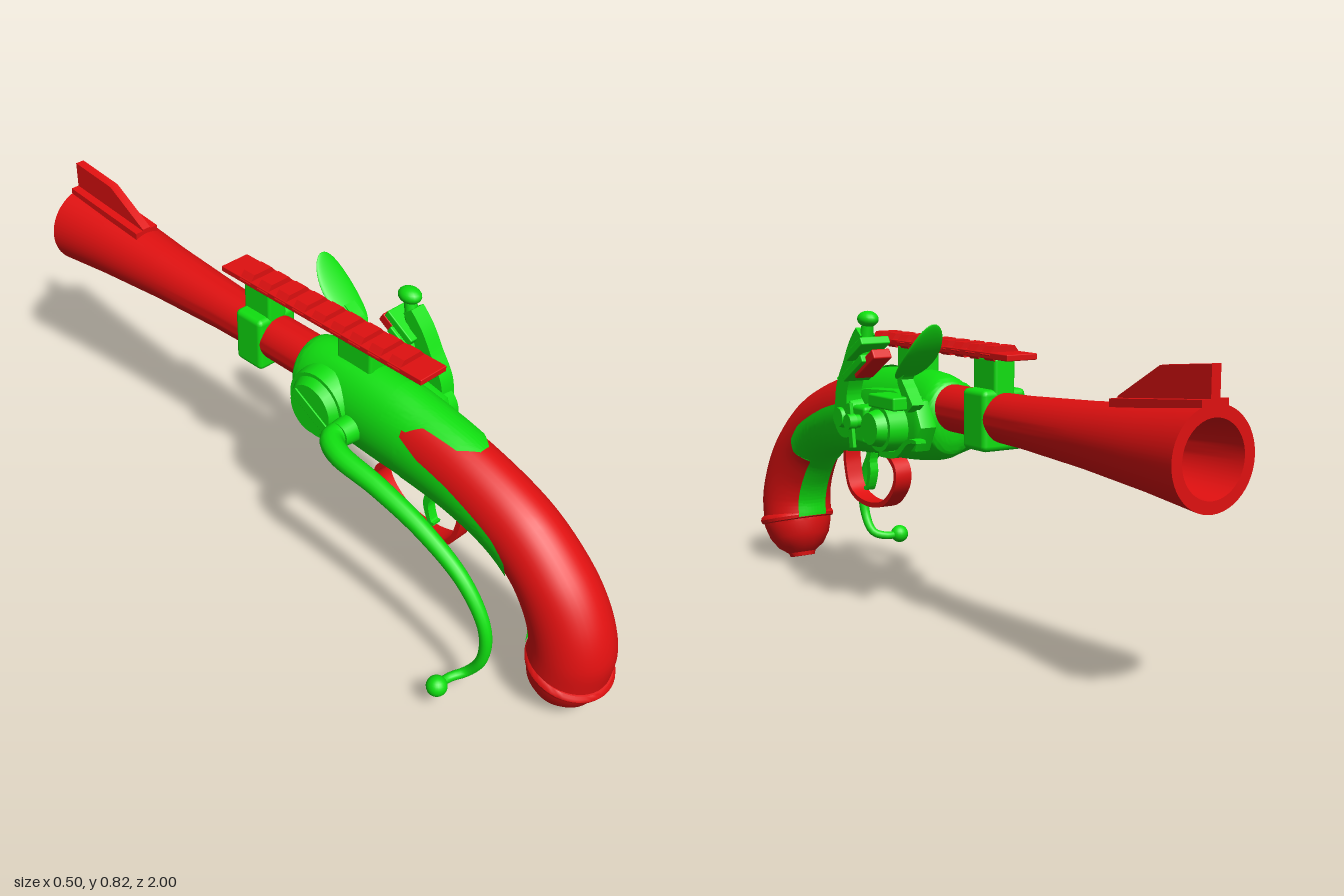
import * as THREE from 'three';
import { toCreasedNormals } from 'three/addons/utils/BufferGeometryUtils.js';
import { RoundedBoxGeometry } from 'three/addons/geometries/RoundedBoxGeometry.js';

const CX = 0.032; // centre plane of the pistol
const red = new THREE.MeshStandardMaterial({ color: 0xe01010, side: THREE.DoubleSide });
const green = new THREE.MeshStandardMaterial({ color: 0x10e010, side: THREE.DoubleSide });

// Stock cross-sections: top z, top y, bottom z, bottom y, half width
const SECTIONS = [
  [-0.03, 0.56, -0.03, 0.54, 0.004], [-0.02, 0.625, -0.02, 0.475, 0.066],
  [0.02, 0.652, 0.01, 0.44, 0.083], [0.12, 0.66, 0.12, 0.42, 0.088],
  [0.25, 0.655, 0.25, 0.41, 0.09], [0.37, 0.64, 0.38, 0.405, 0.09],
  [0.57, 0.598, 0.5, 0.395, 0.09], [0.757, 0.523, 0.62, 0.37, 0.092],
  [0.89, 0.415, 0.7, 0.33, 0.096], [0.965, 0.31, 0.755, 0.26, 0.1],
  [1.0, 0.2, 0.78, 0.2, 0.104], [0.99, 0.1, 0.78, 0.15, 0.106],
];
const spline = (pts) => new THREE.CatmullRomCurve3(pts, false, 'catmullrom', 0.5);
const topLine = spline(SECTIONS.map((s) => new THREE.Vector3(s[4], s[1], s[0])));
const bottomLine = spline(SECTIONS.map((s) => new THREE.Vector3(0, s[3], s[2])));

// Piecewise linear lookup in a list of [t, value]
function lookup(list, t) {
  for (let i = 1; i < list.length; i++) {
    const [a, va] = list[i - 1], [b, vb] = list[i];
    if (t <= b) return va + (vb - va) * Math.max(0, (t - a) / (b - a));
  }
  return list[list.length - 1][1];
}

// Part of the stock surface between stations t0..t1, spanning +-span (of PI) about an angle
function stockSkin(t0, t1, centre, span, offset, nt) {
  const na = 40, pos = [], idx = [], last = SECTIONS.length - 1;
  for (let i = 0; i <= nt; i++) {
    const t = t0 + (t1 - t0) * i / nt;
    const T = topLine.getPoint(t / last), B = bottomLine.getPoint(t / last);
    const a = lookup(span, t) * Math.PI, k = 1 + offset / 0.09;
    for (let j = 0; j <= na; j++) {
      const phi = centre + a * (2 * j / na - 1), c = Math.cos(phi) * k / 2;
      pos.push(CX + T.x * k * Math.sin(phi),
        (T.y + B.y) / 2 - (T.y - B.y) * c, (T.z + B.z) / 2 - (T.z - B.z) * c);
      if (i < nt && j < na) {
        const p = i * (na + 1) + j, q = p + na + 1;
        idx.push(p, p + 1, q, p + 1, q + 1, q);
      }
    }
  }
  const g = new THREE.BufferGeometry();
  g.setAttribute('position', new THREE.Float32BufferAttribute(pos, 3));
  g.setIndex(idx);
  return toCreasedNormals(g, 0.7);
}

// Extrudes a (z, y) outline sideways, centred on x = 0
function sideExtrude(shape, width, bevel = 0) {
  const g = new THREE.ExtrudeGeometry(shape, { depth: width - 2 * bevel, curveSegments: 16,
    bevelEnabled: bevel > 0, bevelSize: bevel, bevelThickness: bevel, bevelSegments: 2 });
  g.translate(0, 0, bevel - width / 2).rotateY(-Math.PI / 2);
  return toCreasedNormals(g, 0.6);
}
const poly = (pts) => new THREE.Shape(pts.map(([z, y]) => new THREE.Vector2(z, y)));

// Flat strip that follows a (z, y) curve, thickness running from th0 to th1
function strip(pts, th0, th1, width) {
  const curve = new THREE.SplineCurve(pts.map(([z, y]) => new THREE.Vector2(z, y)));
  const n = 32, left = [], right = [];
  for (let i = 0; i <= n; i++) {
    const p = curve.getPoint(i / n), d = curve.getTangent(i / n), h = (th0 + (th1 - th0) * i / n) / 2;
    left.push(new THREE.Vector2(p.x - d.y * h, p.y + d.x * h));
    right.unshift(new THREE.Vector2(p.x + d.y * h, p.y - d.x * h));
  }
  return sideExtrude(new THREE.Shape([...left, ...right]), width);
}

// Tube whose radius runs from r0 to r1
function taperTube(pts, r0, r1) {
  const curve = new THREE.CatmullRomCurve3(pts.map((p) => new THREE.Vector3(...p)));
  const n = 64, m = 14, g = new THREE.TubeGeometry(curve, n, 1, m), P = g.attributes.position;
  const v = new THREE.Vector3();
  for (let i = 0; i < P.count; i++) {
    const u = Math.floor(i / (m + 1)) / n, c = curve.getPointAt(u);
    v.fromBufferAttribute(P, i).sub(c).multiplyScalar(r0 + (r1 - r0) * u).add(c);
    P.setXYZ(i, v.x, v.y, v.z);
  }
  return g;
}

export function createModel() {
  const root = new THREE.Group();
  const add = (name, geo, mat, x = 0, y = 0, z = 0, rx = 0) => {
    const m = new THREE.Mesh(geo, mat);
    m.name = name;
    m.position.set(x, y, z);
    m.rotation.x = rx;
    root.add(m);
    return m;
  };
  const box = (name, mat, w, h, d, x, y, z, rx) =>
    add(name, new RoundedBoxGeometry(w, h, d, 2, Math.min(w, h, d) * 0.15), mat, x, y, z, rx);
  // Disc with its axis across the pistol, from x0 (radius r0) to x1 (radius r1)
  const disc = (name, mat, r0, r1, x0, x1, y, z, sides = 28) =>
    add(name, new THREE.CylinderGeometry(r1, r0, x1 - x0, sides).rotateZ(-Math.PI / 2), mat, (x0 + x1) / 2, y, z);

  // Stock: green fore body, red grip, green underside inlay and top tang
  add('foreBody', stockSkin(0, 5, 0, [[0, 1], [5, 1]], 0.003, 50), green);
  add('grip', stockSkin(4.9, 11, 0, [[0, 1], [11, 1]], 0, 60), red);
  add('gripInlay', stockSkin(4.9, 11, 0,
    [[4.9, 0.66], [5.4, 0.58], [6, 0.56], [7, 0.51], [7.5, 0.45], [7.85, 0.34], [8, 0.15], [11, 0.14]], 0.004, 90), green);
  add('tang', stockSkin(4.5, 6, Math.PI, [[4.5, 0.34], [5.1, 0.3], [5.3, 0.2], [5.8, 0.17], [6, 0.05]], 0.007, 30), green);

  // Butt cap with ring and end button
  const lathe = (pts) => toCreasedNormals(
    new THREE.LatheGeometry(pts.map(([r, y]) => new THREE.Vector2(r, y)), 48), 0.6);
  add('buttCap', lathe([[0, -0.12], [0.038, -0.12], [0.042, -0.108], [0.07, -0.088], [0.092, -0.055], [0.104, -0.015],
    [0.105, -0.006], [0.112, -0.003], [0.115, 0.006], [0.112, 0.015], [0.106, 0.02], [0, 0.022]]), red, CX, 0.122, 0.889, 0.265);

  // Flared hollow barrel
  add('barrel', lathe([[0, -0.1], [0.062, -0.1], [0.062, 0.2], [0.066, 0.35], [0.08, 0.6], [0.099, 0.83],
    [0.117, 1], [0.088, 1], [0.07, 0.82], [0.055, 0.5], [0, 0.5]]).rotateX(-Math.PI / 2), red, CX, 0.573, 0);

  // Front sight: tapering base and thin fin
  add('sightBase', sideExtrude(poly([[-0.7, 0.64], [-0.7, 0.672], [-1, 0.7], [-1, 0.665]]), 0.075), red, CX);
  add('sightFin', sideExtrude(poly([[-0.7, 0.66], [-0.7, 0.676], [-0.84, 0.757], [-1, 0.773], [-1, 0.68]]), 0.026), red, CX);

  // Top rail with cross lugs
  box('rail', red, 0.09, 0.016, 0.72, CX, 0.73, 0.04);
  const lug = new THREE.Shape([[-0.047, 0], [-0.03, -0.017], [0.03, -0.017], [0.047, 0], [0.03, 0.021], [-0.03, 0.021]]
    .map(([x, y]) => new THREE.Vector2(x, y)));
  const lugGeo = new THREE.ExtrudeGeometry(lug, { depth: 0.04, bevelEnabled: false });
  for (let i = 0; i < 9; i++) add('railLug', lugGeo, red, CX, 0.732, 0.29 - i * 0.067);

  // Rail mounts and barrel band
  box('frontMount', green, 0.062, 0.1, 0.1, CX, 0.675, -0.2);
  box('barrelBand', green, 0.13, 0.155, 0.1, CX, 0.567, -0.2);
  box('rearMount', green, 0.062, 0.1, 0.12, CX, 0.675, 0.16);

  // Trigger and guard
  add('triggerGuard', strip([[0.53, 0.4], [0.528, 0.35], [0.5, 0.28], [0.42, 0.252], [0.32, 0.264],
    [0.255, 0.32], [0.25, 0.375], [0.3, 0.415]], 0.014, 0.014, 0.05), red, CX);
  add('trigger', strip([[0.4, 0.43], [0.415, 0.38], [0.41, 0.34], [0.425, 0.295], [0.44, 0.292]], 0.026, 0.008, 0.026), green, CX);

  // Left side: round housing and curved crank handle
  disc('housingRim', green, 0.095, 0.105, -0.07, -0.03, 0.53, 0.1);
  disc('housingCap', green, 0.07, 0.085, -0.092, -0.07, 0.53, 0.1);
  box('housingSlot', green, 0.012, 0.03, 0.13, -0.09, 0.53, 0.1, 0.5);
  disc('crankHub', green, 0.034, 0.04, -0.1, -0.04, 0.515, 0.21);
  add('crankHandle', taperTube([[-0.06, 0.515, 0.21], [-0.12, 0.517, 0.21], [-0.148, 0.512, 0.26], [-0.15, 0.49, 0.4],
    [-0.145, 0.44, 0.55], [-0.14, 0.36, 0.68], [-0.135, 0.25, 0.75], [-0.135, 0.15, 0.75],
    [-0.145, 0.088, 0.715], [-0.18, 0.076, 0.692], [-0.225, 0.077, 0.69]], 0.032, 0.011), green);
  add('crankKnob', new THREE.SphereGeometry(0.027, 20, 14), green, -0.225, 0.077, 0.69);

  // Right side: lock plate and its wheels
  const plate = poly([[0.37, 0.52], [0.35, 0.58], [0.25, 0.6], [0.1, 0.61], [0, 0.59], [-0.03, 0.53],
    [0, 0.47], [0.1, 0.455], [0.25, 0.46], [0.34, 0.475]]);
  add('lockPlate', sideExtrude(plate, 0.05, 0.006), green, 0.122);
  disc('cockHub', green, 0.062, 0.058, 0.14, 0.185, 0.525, 0.3);
  disc('cockScrew', green, 0.03, 0.026, 0.185, 0.205, 0.525, 0.3);
  disc('mainWheel', green, 0.066, 0.062, 0.14, 0.2, 0.52, 0.09);
  disc('wheelCap', green, 0.05, 0.042, 0.2, 0.228, 0.52, 0.09);
  box('bridge', green, 0.07, 0.1, 0.07, 0.175, 0.52, 0.18);
  disc('bridgeScrew', green, 0.018, 0.018, 0.21, 0.234, 0.53, 0.175, 16);
  box('bridgeLever', green, 0.01, 0.12, 0.022, 0.233, 0.52, 0.175, 0.15);
  disc('bridgeKnob', green, 0.022, 0.02, 0.225, 0.246, 0.53, 0.175, 16);
  box('pan', green, 0.09, 0.035, 0.13, 0.165, 0.592, 0.06);
  add('spring', strip([[0.12, 0.45], [0.04, 0.455], [-0.02, 0.495], [-0.065, 0.5]], 0.022, 0.008, 0.03), green, 0.165);

  // Cock holding the flint
  add('cock', strip([[0.3, 0.53], [0.295, 0.6], [0.265, 0.66], [0.235, 0.72], [0.2, 0.765]], 0.07, 0.032, 0.045), green, 0.172);
  box('lowerJaw', green, 0.08, 0.022, 0.12, 0.172, 0.668, 0.205, 0.55);
  box('upperJaw', green, 0.088, 0.022, 0.1, 0.172, 0.72, 0.19, 0.55);
  box('flint', red, 0.055, 0.028, 0.12, 0.172, 0.682, 0.165, 0.55);
  add('jawScrew', new THREE.CylinderGeometry(0.015, 0.022, 0.1, 16), green, 0.172, 0.75, 0.195, -0.2);
  add('jawScrewHead', new THREE.SphereGeometry(0.027, 18, 12).scale(1, 0.8, 1.25), green, 0.172, 0.799, 0.186);

  // Frizzen: a thin oval leaf bent towards the cock, on a foot
  const leaf = new THREE.SphereGeometry(1, 28, 20).scale(0.05, 0.112, 0.009), P = leaf.attributes.position;
  for (let i = 0; i < P.count; i++) P.setZ(i, P.getZ(i) + 1.5 * P.getY(i) ** 2 - 0.008);
  leaf.computeVertexNormals();
  add('frizzen', leaf, green, 0.152, 0.718, -0.036, -0.82);
  add('frizzenFoot', strip([[-0.02, 0.58], [0.01, 0.62], [0.03, 0.655], [-0.01, 0.69]], 0.035, 0.015, 0.035), green, 0.152);

  return root;
}
